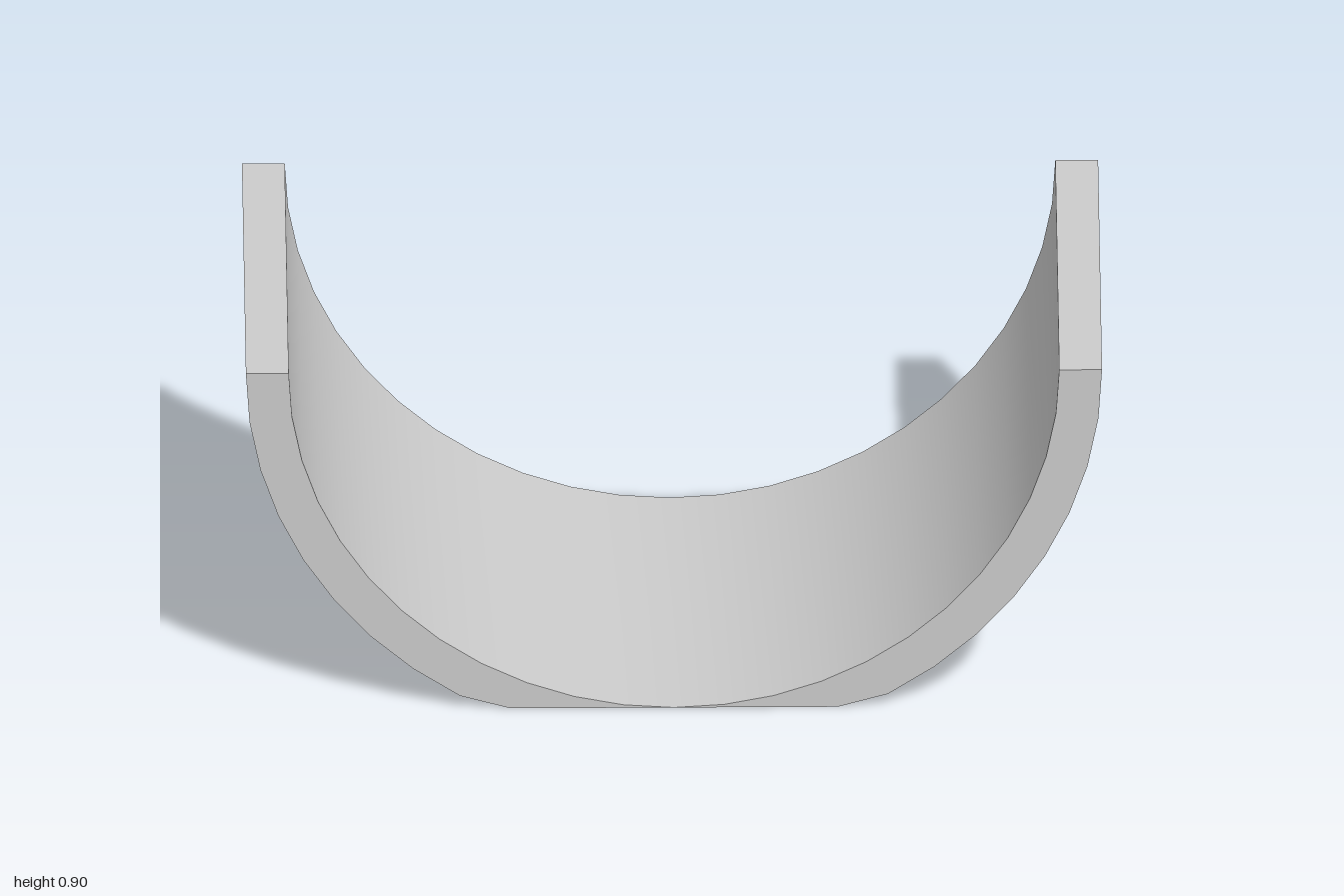
import * as THREE from 'three';
import { toCreasedNormals } from 'three/addons/utils/BufferGeometryUtils.js';

const OUTER = 1, INNER = 0.9, CENTRE_Y = 0.9, LENGTH = 1;
const STEPS = 12; // segments per quarter turn

// One half of the cradle section: side is +1 (left) or -1 (right)
function halfSection(side) {
  const points = [];
  const add = (radius, i) => {
    const a = (i / STEPS) * Math.PI / 2; // measured from straight down
    points.push(new THREE.Vector2(
      side * radius * Math.sin(a),
      i === STEPS ? CENTRE_Y : Math.max(0, CENTRE_Y - radius * Math.cos(a))
    ));
  };
  // inner arc up from the lowest point, then outer arc down to the flat foot
  for (let i = 0; i <= STEPS; i++) add(INNER, i);
  for (let i = STEPS; i >= 3; i--) add(OUTER, i);
  return new THREE.Shape(points);
}

export function createModel() {
  const group = new THREE.Group();
  group.name = 'cradle';

  // Both halves meet at the bottom, where the wall thins out to nothing
  const extruded = new THREE.ExtrudeGeometry([halfSection(1), halfSection(-1)], {
    depth: LENGTH, bevelEnabled: false,
  });
  extruded.translate(0, 0, -LENGTH / 2);

  const shell = new THREE.Mesh(
    toCreasedNormals(extruded, Math.PI / 6),
    new THREE.MeshStandardMaterial({ color: 0xcccccc })
  );
  shell.name = 'halfPipeShell';
  group.add(shell);
  return group;
}
